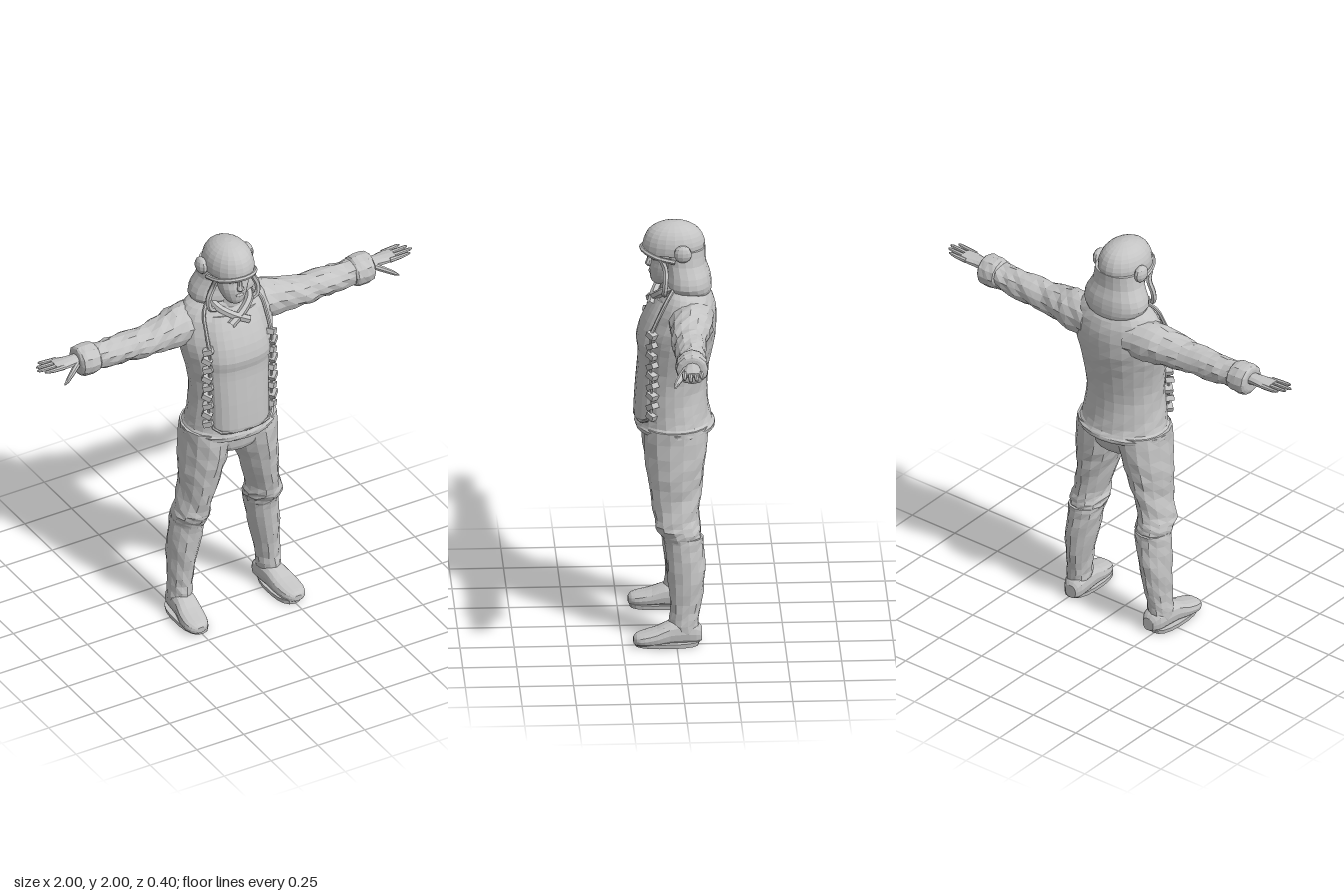
import * as THREE from 'three';

const cloth = new THREE.MeshStandardMaterial({ color: 0xc4c4c4 });
cloth.name = 'plain grey';

// Closed faceted body through elliptical sections along one axis.
// section = [position on axis, centre a, centre b, radius a, radius b], a/b in xyz order, axis ascending
function loft(axis, sections, { seg = 16, sub = 2, power = 1, fold = 0 } = {}) {
  const rings = [];
  const cr = (a, b, c, d, t) => {
    const lo = Math.min(b, c), hi = Math.max(b, c);
    const v = 0.5 * (2 * b + (c - a) * t + (2 * a - 5 * b + 4 * c - d) * t * t + (3 * b - a - 3 * c + d) * t * t * t);
    return Math.min(hi, Math.max(lo, v));
  };
  for (let i = 0; i < sections.length - 1; i++) {
    const s = k => sections[Math.min(sections.length - 1, Math.max(0, k))];
    for (let j = 0; j < sub; j++) {
      rings.push(s(i).map((_, k) => cr(s(i - 1)[k], s(i)[k], s(i + 1)[k], s(i + 2)[k], j / sub)));
    }
  }
  rings.push(sections[sections.length - 1]);
  const place = (t, a, b) => axis === 'y' ? [a, t, b] : axis === 'x' ? [t, a, b] : [a, b, t];
  const bend = v => Math.sign(v) * Math.abs(v) ** power;
  const pos = [], index = [];
  rings.forEach(([t, ca, cb, ra, rb], r) => {
    for (let i = 0; i < seg; i++) {
      const q = (i / seg) * Math.PI * 2;
      const c = bend(Math.cos(q)), s = bend(Math.sin(q));
      const [u, v] = axis === 'y' ? [s, c] : [c, s];
      const w = fold * Math.sin(r * 2.3 + i * 1.7 + 2 * Math.sin(i * 2.9 + r * 0.8));
      pos.push(...place(t, ca + u * (ra + w), cb + v * (rb + w)));
      if (r < rings.length - 1) {
        const a = r * seg + i, b = r * seg + (i + 1) % seg;
        index.push(a, b, b + seg, a, b + seg, a + seg);
      }
    }
  });
  // end caps
  const last = (rings.length - 1) * seg, n = rings.length * seg;
  const e = rings[rings.length - 1];
  pos.push(...place(rings[0][0], rings[0][1], rings[0][2]), ...place(e[0], e[1], e[2]));
  for (let i = 0; i < seg; i++) {
    const k = (i + 1) % seg;
    index.push(n, k, i, n + 1, last + i, last + k);
  }
  const g = new THREE.BufferGeometry();
  g.setAttribute('position', new THREE.Float32BufferAttribute(pos, 3));
  g.setIndex(index);
  return g;
}

// Faceted normals, keeping only positions
function facet(g) {
  const f = g.index ? g.toNonIndexed() : g.clone();
  f.deleteAttribute('uv');
  f.computeVertexNormals();
  return f;
}

// Reflection in x with corner order restored
function reflect(g) {
  const f = facet(g), p = f.attributes.position;
  for (let i = 0; i < p.count; i += 3) {
    const [a, b, c] = [0, 1, 2].map(k => new THREE.Vector3().fromBufferAttribute(p, i + k));
    [a, c, b].forEach((v, k) => p.setXYZ(i + k, -v.x, v.y, v.z));
  }
  f.computeVertexNormals();
  return f;
}

function ball(x, y, z, rx, ry, rz) {
  return new THREE.SphereGeometry(1, 10, 7).scale(rx, ry, rz).translate(x, y, z);
}

function cord(points, radius) {
  const curve = new THREE.CatmullRomCurve3(points.map(p => new THREE.Vector3(...p)));
  return new THREE.TubeGeometry(curve, 14, radius, 6);
}

export function createModel() {
  const model = new THREE.Group();
  model.name = 'figure';
  const add = (name, g) => {
    const m = new THREE.Mesh(facet(g), cloth);
    m.name = name;
    model.add(m);
  };
  const pair = (name, g) => {
    add('left ' + name, g);
    add('right ' + name, reflect(g));
  };

  // Jacket
  add('jacket', loft('y', [
    [1.0, 0, -0.005, 0.232, 0.182], [1.02, 0, -0.003, 0.234, 0.187], [1.04, 0, 0, 0.215, 0.175],
    [1.1, 0, 0.005, 0.205, 0.167], [1.2, 0, 0.007, 0.195, 0.16], [1.3, 0, 0, 0.2, 0.163],
    [1.4, 0, -0.01, 0.218, 0.172], [1.47, 0, -0.02, 0.232, 0.175], [1.55, 0, -0.037, 0.236, 0.16],
    [1.62, 0, -0.047, 0.222, 0.138], [1.67, 0, -0.05, 0.185, 0.11], [1.7, 0, -0.04, 0.12, 0.09],
    [1.74, 0, -0.02, 0.075, 0.07]], { seg: 24, fold: 0.002 }));
  add('jacket front panel', loft('y', [
    [1.055, 0, 0.06, 0.145, 0.125], [1.07, 0, 0.06, 0.16, 0.128], [1.2, 0, 0.06, 0.16, 0.12],
    [1.33, 0, 0.06, 0.165, 0.108], [1.38, 0, 0.06, 0.168, 0.107], [1.43, 0, 0.055, 0.172, 0.12],
    [1.5, 0, 0.04, 0.168, 0.118], [1.58, 0, 0.02, 0.16, 0.1], [1.64, 0, 0.0, 0.14, 0.085]],
    { seg: 24, power: 0.8 }));
  for (let i = 0; i < 9; i++) {
    const g = new THREE.BoxGeometry(0.045, 0.026, 0.04, 2, 1, 2)
      .rotateZ(i % 2 ? 0.45 : -0.35).rotateY(0.7)
      .translate(0.168 + 0.006 * (i % 2), 1.1 + i * 0.05, 0.108);
    pair('toggle ' + (i + 1), g);
  }
  pair('toggle cord', cord([[0.12, 1.7, 0.01], [0.152, 1.66, 0.04], [0.162, 1.58, 0.08], [0.165, 1.5, 0.115]], 0.009));
  pair('panel edge', cord([[0.165, 1.5, 0.118], [0.165, 1.3, 0.115], [0.16, 1.09, 0.12], [0.13, 1.058, 0.155], [0, 1.055, 0.183]], 0.007));
  pair('collar', cord([[0.1, 1.715, -0.01], [0.085, 1.685, 0.05], [0.03, 1.645, 0.085], [-0.05, 1.605, 0.11]], 0.02));

  // Arms with fur cuffs
  pair('sleeve', loft('x', [
    [0.12, 1.565, -0.07, 0.09, 0.11], [0.22, 1.563, -0.07, 0.1, 0.1], [0.3, 1.557, -0.06, 0.086, 0.09],
    [0.4, 1.55, -0.05, 0.072, 0.08], [0.48, 1.552, -0.05, 0.07, 0.074], [0.56, 1.553, -0.05, 0.068, 0.07],
    [0.64, 1.556, -0.049, 0.063, 0.067], [0.71, 1.56, -0.048, 0.06, 0.062]], { seg: 14, fold: 0.005 }));
  pair('cuff', loft('x', [
    [0.68, 1.56, -0.047, 0.055, 0.058], [0.69, 1.56, -0.047, 0.071, 0.072], [0.735, 1.56, -0.047, 0.076, 0.077],
    [0.775, 1.563, -0.047, 0.072, 0.072], [0.785, 1.565, -0.047, 0.05, 0.052]], { seg: 12, fold: 0.002 }));

  // Hands
  pair('palm', loft('x', [
    [0.77, 1.573, -0.047, 0.028, 0.033], [0.82, 1.577, -0.045, 0.023, 0.039],
    [0.87, 1.581, -0.045, 0.017, 0.047], [0.905, 1.585, -0.045, 0.012, 0.045]], { seg: 10 }));
  [0.965, 0.99, 1.0, 0.975].forEach((tip, i) => {
    const z = -0.082 + i * 0.025;
    pair('finger ' + (i + 1), loft('x', [
      [0.87, 1.583, z, 0.012, 0.012], [0.93, 1.587, z * 1.08 + 0.004, 0.01, 0.011],
      [tip - 0.01, 1.591, z * 1.1 + 0.005, 0.007, 0.009], [tip, 1.592, z * 1.1 + 0.005, 0.003, 0.004]], { seg: 7, sub: 1 }));
  });
  pair('thumb', loft('x', [
    [0.79, 1.57, -0.02, 0.018, 0.02], [0.83, 1.553, 0.005, 0.017, 0.018],
    [0.87, 1.533, 0.028, 0.013, 0.013], [0.893, 1.52, 0.037, 0.004, 0.005]], { seg: 8, sub: 1 }));

  // Trousers
  add('trouser seat', loft('y', [
    [0.875, 0, 0, 0.04, 0.07], [0.91, 0, 0, 0.15, 0.125], [0.96, 0, -0.003, 0.215, 0.14],
    [1.03, 0, -0.004, 0.22, 0.15]], { seg: 20 }));
  pair('trouser leg', loft('y', [
    [0.49, 0.192, -0.03, 0.074, 0.085], [0.52, 0.192, -0.025, 0.084, 0.095], [0.555, 0.192, -0.01, 0.088, 0.103],
    [0.6, 0.187, -0.003, 0.078, 0.103], [0.7, 0.165, 0, 0.082, 0.115], [0.8, 0.15, 0, 0.098, 0.13],
    [0.9, 0.13, -0.002, 0.112, 0.142], [1.03, 0.115, -0.005, 0.118, 0.147]], { seg: 14, fold: 0.004 }));

  // Boots
  pair('boot shaft', loft('y', [
    [0.04, 0.24, -0.045, 0.05, 0.06], [0.1, 0.238, -0.035, 0.056, 0.07], [0.16, 0.233, -0.04, 0.056, 0.068],
    [0.25, 0.226, -0.046, 0.062, 0.08], [0.36, 0.214, -0.046, 0.075, 0.088], [0.46, 0.2, -0.04, 0.08, 0.09],
    [0.515, 0.194, -0.036, 0.083, 0.092]], { seg: 14, fold: 0.003 }));
  pair('boot foot', loft('z', [
    [-0.118, 0.228, 0.045, 0.03, 0.032], [-0.09, 0.232, 0.056, 0.052, 0.052], [-0.03, 0.237, 0.062, 0.058, 0.058],
    [0.03, 0.243, 0.06, 0.059, 0.054], [0.09, 0.252, 0.046, 0.064, 0.041], [0.15, 0.258, 0.037, 0.061, 0.032],
    [0.185, 0.26, 0.033, 0.045, 0.026], [0.2, 0.26, 0.03, 0.022, 0.014]], { seg: 14, power: 0.8 }));
  pair('boot sole', loft('y', [
    [0, 0.247, 0.045, 0.064, 0.148], [0.02, 0.247, 0.043, 0.066, 0.152]], { seg: 18, sub: 1, power: 0.8 }));

  // Face
  add('face', loft('y', [
    [1.695, 0, 0.055, 0.022, 0.03], [1.715, 0, 0.058, 0.043, 0.048], [1.75, 0, 0.048, 0.062, 0.064],
    [1.79, 0, 0.042, 0.075, 0.069], [1.825, 0, 0.038, 0.08, 0.066], [1.85, 0, 0.04, 0.084, 0.083],
    [1.89, 0, 0.035, 0.085, 0.09]], { seg: 18 }));
  add('nose', loft('y', [
    [1.782, 0, 0.112, 0.013, 0.012], [1.793, 0, 0.117, 0.018, 0.018], [1.815, 0, 0.11, 0.011, 0.016],
    [1.85, 0, 0.105, 0.009, 0.014]], { seg: 8, sub: 1 }));
  add('lips', ball(0, 1.757, 0.109, 0.022, 0.009, 0.008));
  pair('eye', ball(0.033, 1.828, 0.092, 0.014, 0.007, 0.009));
  add('neck', loft('y', [[1.62, 0, -0.01, 0.075, 0.075], [1.76, 0, 0.005, 0.06, 0.06]], { sub: 1 }));

  // Fur-lined hat with neck flap and ear pads
  add('hat crown', loft('y', [
    [1.862, 0, 0.003, 0.112, 0.145], [1.9, 0, 0, 0.114, 0.144], [1.94, 0, 0, 0.102, 0.13],
    [1.97, 0, 0, 0.08, 0.104], [1.99, 0, 0, 0.05, 0.064], [2.0, 0, 0, 0.015, 0.02]], { seg: 20 }));
  add('hat band', cord([[-0.112, 1.835, 0], [-0.098, 1.852, 0.08], [-0.055, 1.868, 0.133], [0, 1.873, 0.15],
    [0.055, 1.868, 0.133], [0.098, 1.852, 0.08], [0.112, 1.835, 0]], 0.011));
  add('neck flap', loft('y', [
    [1.655, 0, -0.085, 0.09, 0.075], [1.67, 0, -0.075, 0.138, 0.098], [1.71, 0, -0.062, 0.165, 0.112],
    [1.76, 0, -0.06, 0.152, 0.105], [1.81, 0, -0.05, 0.125, 0.098], [1.88, 0, -0.045, 0.112, 0.1]],
    { seg: 20, power: 0.9 }));
  pair('flap edge', cord([[0.1, 1.85, 0.065], [0.105, 1.8, 0.045], [0.13, 1.74, 0.045], [0.125, 1.69, 0.05], [0.09, 1.67, 0.045]], 0.014));
  pair('ear pad', ball(0.122, 1.88, -0.035, 0.026, 0.042, 0.042));
  return model;
}
